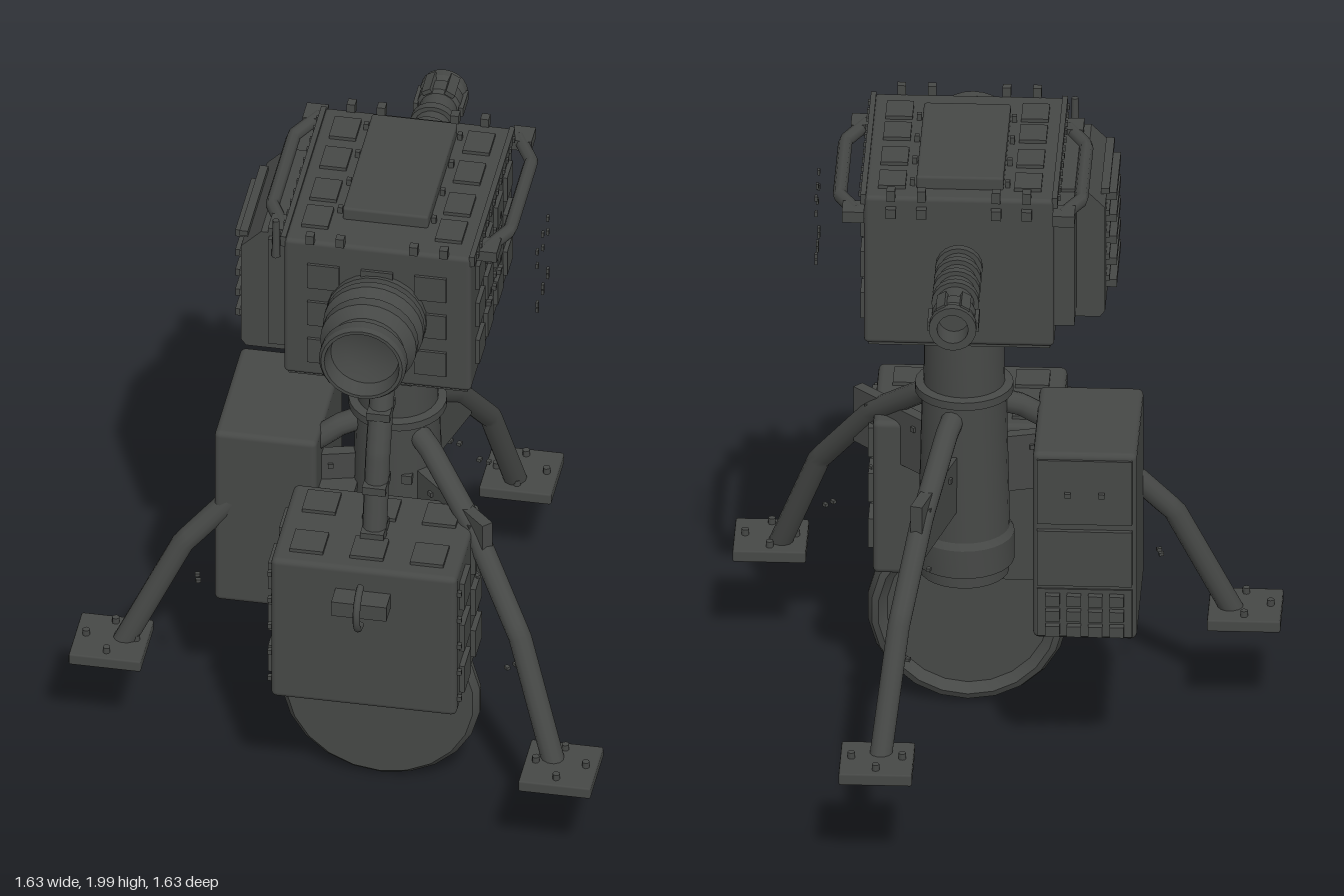
import * as THREE from 'three';
import { RoundedBoxGeometry } from 'three/addons/geometries/RoundedBoxGeometry.js';
import { toCreasedNormals } from 'three/addons/utils/BufferGeometryUtils.js';

const CX = 0.108; // shared centre line of column, head and front box
const CZ = 0.11;

export function createModel() {
  const root = new THREE.Group();
  const mat = new THREE.MeshStandardMaterial({ color: 0x464846 });
  const discMat = new THREE.MeshStandardMaterial({ color: 0x464846, side: THREE.DoubleSide });

  const group = (name, parent = root) => {
    const g = new THREE.Group();
    g.name = name;
    parent.add(g);
    return g;
  };
  const add = (parent, name, geo, x = 0, y = 0, z = 0, m = mat) => {
    const mesh = new THREE.Mesh(geo, m);
    mesh.name = name;
    mesh.position.set(x, y, z);
    parent.add(mesh);
    return mesh;
  };
  // Boxes are given by their limits
  const box = (parent, name, x0, x1, y0, y1, z0, z1, r = 0) => {
    const s = [x1 - x0, y1 - y0, z1 - z0];
    const geo = r ? new RoundedBoxGeometry(...s, 2, r) : new THREE.BoxGeometry(...s);
    return add(parent, name, geo, (x0 + x1) / 2, (y0 + y1) / 2, (z0 + z1) / 2);
  };
  const cube = (parent, name, x, y, z, w, h, d) =>
    add(parent, name, new THREE.BoxGeometry(w, h, d), x, y, z);
  const lathe = (parent, name, pts, sides, m = mat) => add(parent, name, toCreasedNormals(
    new THREE.LatheGeometry(pts.map(p => new THREE.Vector2(...p)), sides), 0.5), 0, 0, 0, m);
  // Pipe with straight runs between its points
  const pipe = (parent, name, pts, r, seg = 12) => {
    const path = new THREE.CurvePath();
    const v = pts.map(p => new THREE.Vector3(...p));
    for (let i = 1; i < v.length; i++) path.add(new THREE.LineCurve3(v[i - 1], v[i]));
    return add(parent, name, new THREE.TubeGeometry(path, 30, r, seg));
  };
  const cap = (parent, p, r) => add(parent, 'pipeEnd', new THREE.SphereGeometry(r, 12, 8), ...p);

  // ---- Column
  const column = group('column');
  column.position.set(CX, 0, CZ);
  lathe(column, 'columnBody', [[0, 0.56], [0.132, 0.56], [0.132, 0.6], [0.148, 0.6], [0.148, 0.69],
    [0.135, 0.71], [0.125, 1.15], [0.145, 1.155], [0.145, 1.18], [0.12, 1.185], [0.116, 1.44],
    [0.18, 1.44], [0.18, 1.455], [0.22, 1.455], [0.22, 1.475], [0, 1.475]], 28);
  for (const y of [0.97, 1.33]) for (const s of [-1, 1])
    cube(column, 'columnLug', s * 0.05, y, 0.115, 0.03, 0.03, 0.03);

  // ---- Three legs, 120 degrees apart, with square feet
  const prof = [[0.1, 1.11], [0.17, 1.085], [0.4, 0.93], [0.635, 0.68], [0.815, 0.32]];
  for (const deg of [-45, 75, 195]) {
    const leg = group('leg');
    leg.position.set(CX, 0, CZ);
    leg.rotation.y = THREE.MathUtils.degToRad(deg);
    pipe(leg, 'legTube', prof.map(([r, y]) => [r, y, 0]), 0.034);
    cap(leg, [0.815, 0.32, 0], 0.034);
    box(leg, 'legGusset', 0.1, 0.465, 0.81, 0.99, -0.018, 0.018);
    for (const s of [-1, 1]) {
      for (const r of [0.2, 0.4]) cube(leg, 'gussetBolt', r, 0.95, s * 0.02, 0.015, 0.015, 0.012);
      cube(leg, 'looseStud', 0.39, 0.75, s * 0.015, 0.015, 0.01, 0.012);
      cube(leg, 'looseStud', 0.59, 0.55, s * 0.015, 0.015, 0.01, 0.012);
    }
    const a = -leg.rotation.y;
    const foot = group('foot');
    foot.position.set(CX + 0.846 * Math.cos(a), 0.328, CZ + 0.846 * Math.sin(a));
    add(foot, 'footPlate', new RoundedBoxGeometry(0.216, 0.038, 0.216, 1, 0.006));
    for (const [x, z] of [[0.075, 0], [-0.075, 0], [0, 0.075], [0, -0.075]])
      add(foot, 'footBolt', new THREE.CylinderGeometry(0.011, 0.011, 0.02, 8), x, 0.028, z);
  }

  // ---- Head housing
  const head = group('head');
  box(head, 'headBody', -0.172, 0.388, 1.47, 1.955, -0.225, 0.445, 0.014);
  box(head, 'headBase', -0.16, 0.375, 1.46, 1.475, -0.21, 0.43);
  box(head, 'topPlate', -0.02, 0.236, 1.95, 1.995, -0.165, 0.315, 0.008);
  const rows = [1.565, 1.7, 1.835];
  const cols = [-0.12, 0.03, 0.19, 0.325];
  for (const y of rows) {
    for (const z of cols) for (const s of [-1, 1])
      cube(head, 'sidePanel', CX + s * 0.282, y, z, 0.022, 0.085, 0.09);
    for (const dx of [-0.16, 0, 0.16])
      cube(head, 'frontPanel', CX + dx, y, 0.447, 0.095, 0.085, 0.014);
  }
  for (const s of [-1, 1]) {
    for (const z of cols) cube(head, 'topPanel', CX + s * 0.2, 1.957, z, 0.08, 0.018, 0.1);
    // Trim strip with a row of bolts along the upper edge
    box(head, 'trim', CX + s * 0.282 - 0.008, CX + s * 0.282 + 0.008, 1.925, 1.96, -0.22, 0.44);
    for (let i = 0; i < 12; i++)
      cube(head, 'trimBolt', CX + s * 0.291, 1.943, -0.18 + i * 0.053, 0.012, 0.014, 0.014);
    for (const y of [1.615, 1.66, 1.77, 1.82]) for (const z of [0.03, 0.11, 0.19])
      cube(head, 'sideBolt', CX + s * 0.285, y, z, 0.02, 0.015, 0.015);
    for (const z of [-0.14, 0.0, 0.14, 0.28])
      cube(head, 'plateBolt', CX + s * 0.14, 1.965, z, 0.014, 0.02, 0.016);
    // Carrying handle with two end blocks
    const hx = d => CX + s * d;
    pipe(head, 'handle', [[hx(0.3), 1.91, -0.235], [hx(0.355), 1.91, -0.13],
      [hx(0.355), 1.91, 0.22], [hx(0.3), 1.91, 0.33]], 0.021, 8);
    for (const z of [-0.235, 0.325]) cube(head, 'handleBlock', hx(0.31), 1.91, z, 0.065, 0.035, 0.075);
  }
  for (const dx of [-0.2, -0.11, 0.11, 0.2]) {
    cube(head, 'rearStud', CX + dx, 1.91, -0.232, 0.03, 0.03, 0.03);
    cube(head, 'rearTopStud', CX + dx, 1.965, -0.225, 0.025, 0.035, 0.03);
    cube(head, 'frontTopStud', CX + dx, 1.97, 0.446, 0.025, 0.03, 0.025);
  }
  for (const y of [1.61, 1.63, 1.77, 1.82]) for (const z of [0.02, 0.1, 0.19])
    cube(head, 'looseSideStud', 0.54, y, z, 0.008, 0.016, 0.014);

  // ---- Ribbed side pack
  const shape = new THREE.Shape([[-0.16, 1.49], [-0.3, 1.49], [-0.315, 1.51], [-0.315, 1.85],
    [-0.255, 1.91], [-0.16, 1.91]].map(p => new THREE.Vector2(...p)).reverse());
  add(head, 'sidePack', new THREE.ExtrudeGeometry(shape, { depth: 0.42, bevelEnabled: false }), 0, 0, -0.06);
  box(head, 'packMount', -0.23, -0.17, 1.52, 1.9, -0.18, 0.38);
  for (let i = 0; i < 5; i++) {
    const y = 1.555 + i * 0.072;
    box(head, 'packRib', -0.345, -0.3, y - 0.012, y + 0.012, 0.03, 0.29);
    box(head, 'packRib', -0.325, -0.3, y + 0.022, y + 0.04, 0, 0.33);
  }
  add(head, 'antenna', new THREE.CylinderGeometry(0.01, 0.013, 0.13, 8), -0.205, 1.915, 0.39);

  // ---- Ridged lens with a recessed front
  const lens = lathe(head, 'lens', [[0.15, 0], [0.15, 0.02], [0.125, 0.025], [0.15, 0.04], [0.15, 0.065],
    [0.122, 0.095], [0.144, 0.11], [0.144, 0.145], [0.115, 0.175], [0.115, 0.195], [0.13, 0.21],
    [0.13, 0.24], [0.122, 0.252], [0.112, 0.252], [0.102, 0.2], [0.06, 0.185], [0, 0.18]], 28);
  lens.position.set(CX, 1.713, 0.444);
  lens.rotation.x = Math.PI / 2;

  // ---- Rear barrel with collars and a slotted muzzle
  const barrel = group('barrel', head);
  barrel.position.set(0.106, 1.745, -0.22);
  barrel.rotation.x = -Math.PI / 2;
  const bp = [[0.056, 0]];
  for (let i = 0; i < 4; i++) {
    const y = 0.03 + i * 0.072;
    bp.push([0.056, y], [0.07, y], [0.07, y + 0.025], [0.056, y + 0.025]);
  }
  bp.push([0.056, 0.335], [0.066, 0.345], [0.066, 0.39], [0.06, 0.395], [0.07, 0.41],
    [0.07, 0.437], [0.046, 0.437], [0.046, 0.36], [0, 0.36]);
  lathe(barrel, 'barrelTube', bp, 20);
  for (let i = 0; i < 6; i++) {
    const a = i * Math.PI / 3;
    const lug = cube(barrel, 'muzzleLug', 0.068 * Math.cos(a), 0.375, 0.068 * Math.sin(a), 0.014, 0.09, 0.03);
    lug.rotation.y = -a;
  }

  // ---- Front box with panels, latch and feed pipe
  const front = group('frontBox');
  box(front, 'frontBoxBody', -0.17, 0.386, 0.446, 0.948, 0.28, 0.67, 0.018);
  for (const s of [-1, 1]) for (const z of [0.39, 0.57]) for (const y of [0.55, 0.7, 0.85])
    cube(front, 'boxSidePanel', CX + s * 0.28, y, z, 0.028, 0.095, 0.1);
  for (const dx of [-0.18, 0, 0.18]) for (const z of [0.37, 0.57])
    cube(front, 'boxTopPanel', CX + dx, 0.948, z, 0.1, 0.022, 0.1);
  for (const s of [-1, 1]) for (let i = 0; i < 5; i++)
    cube(front, 'boxEdgeBolt', CX + s * 0.282, 0.5 + i * 0.095, 0.645, 0.016, 0.015, 0.015);
  box(front, 'latchBlock', 0.025, 0.19, 0.82, 0.87, 0.66, 0.74);
  const hook = add(front, 'latchHook', new THREE.TorusGeometry(0.068, 0.011, 8, 16, Math.PI), 0.107, 0.845, 0.71);
  hook.rotation.set(0, -Math.PI / 2, -Math.PI / 2, 'YXZ');
  const feed = [[CX, 0.93, 0.495], [CX, 1.2, 0.435], [CX, 1.48, 0.325]];
  pipe(front, 'feedPipe', feed, 0.037);
  for (const [y, z] of [[0.965, 0.485], [1.11, 0.455], [1.33, 0.385]])
    cube(front, 'pipeClamp', CX, y, z, 0.07, 0.026, 0.095);

  // ---- Round drum below the front box, hollow at the rear
  const drum = lathe(root, 'drum', [[0, -0.01], [0.24, -0.01], [0.265, -0.04], [0.285, -0.03],
    [0.298, 0], [0.298, 0.02], [0.28, 0.04], [0, 0.04]], 22, discMat);
  drum.position.set(CX, 0.3, 0.36);
  drum.rotation.x = Math.PI / 2;

  // ---- Equipment pack beside the column
  const pack = group('equipmentPack');
  box(pack, 'packBody', -0.413, -0.107, 0.477, 1.09, -0.17, 0.27, 0.018);
  box(pack, 'packBridge', -0.15, 0.0, 0.5, 0.9, 0.16, 0.3);
  box(pack, 'packUpperPanel', -0.4, -0.12, 0.86, 1.07, -0.178, -0.16);
  box(pack, 'packMiddlePanel', -0.4, -0.12, 0.66, 0.84, -0.185, -0.16);
  box(pack, 'packLowerPanel', -0.4, -0.12, 0.49, 0.645, -0.176, -0.16);
  for (let i = 0; i < 4; i++) for (let j = 0; j < 3; j++)
    cube(pack, 'packButton', -0.355 + i * 0.063, 0.515 + j * 0.05, -0.183, 0.042, 0.034, 0.03);
  for (const x of [-0.31, -0.21]) cube(pack, 'packStud', x, 0.96, -0.182, 0.018, 0.014, 0.02);
  return root;
}
